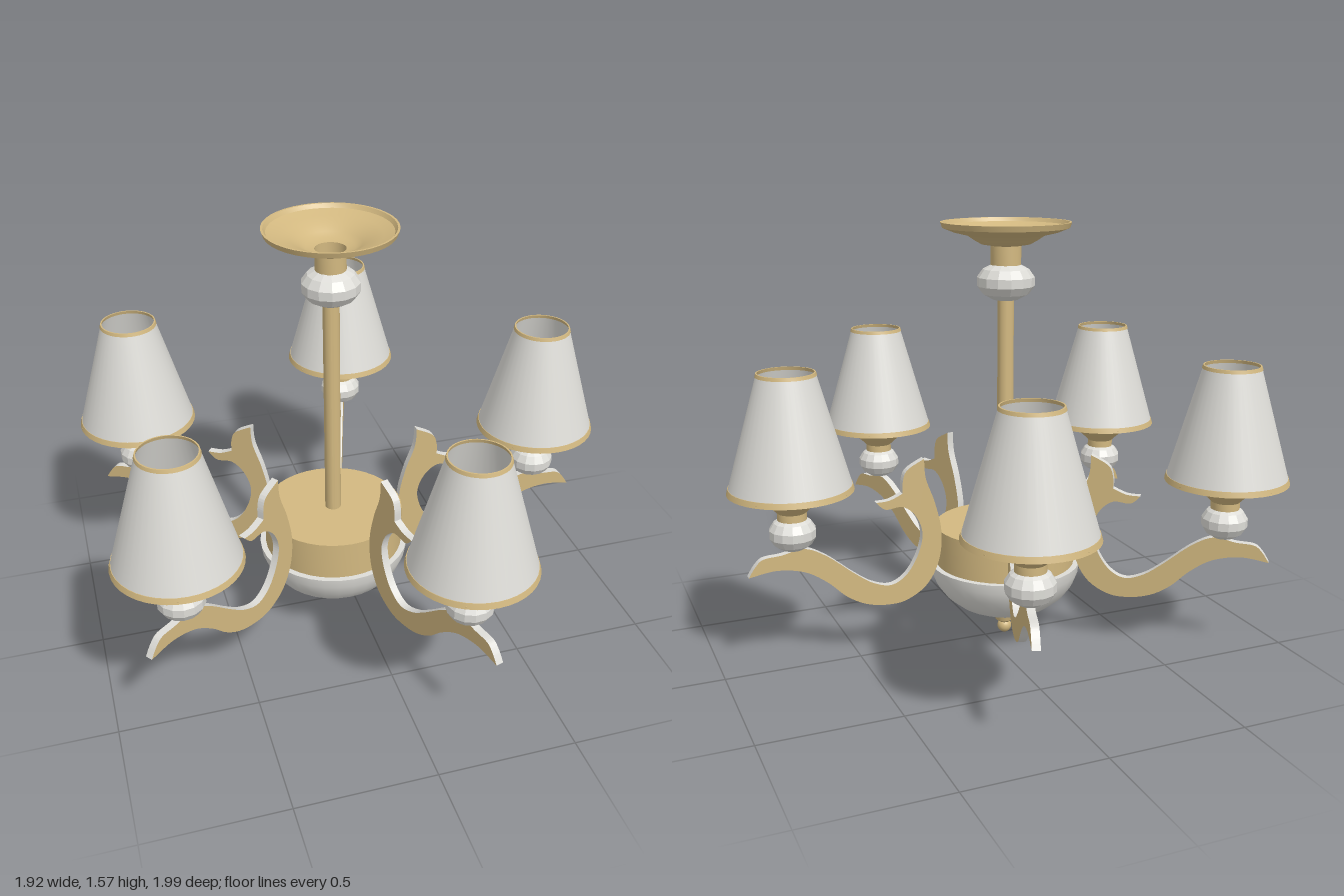
import * as THREE from 'three';
import { toCreasedNormals } from 'three/addons/utils/BufferGeometryUtils.js';

const gold = new THREE.MeshStandardMaterial({ color: 0xd2b880, side: THREE.DoubleSide });
gold.name = 'brushed gold';
const white = new THREE.MeshStandardMaterial({ color: 0xdddcd7, side: THREE.DoubleSide });
white.name = 'soft white';

const vectors = (pts) => pts.map(([x, y]) => new THREE.Vector2(x, y));

function add(parent, name, geometry, material) {
  const mesh = new THREE.Mesh(geometry, material);
  mesh.name = name;
  parent.add(mesh);
  return mesh;
}

// Turned part from a bottom-to-top profile of [radius, height]
function turned(parent, name, profile, material, sides = 32) {
  const geometry = new THREE.LatheGeometry(vectors(profile), sides);
  return add(parent, name, toCreasedNormals(geometry, 0.55), material);
}

// Flattened, faceted ball
function facetedBall(parent, name, radius, halfHeight, y) {
  const geometry = new THREE.SphereGeometry(1, 14, 7).toNonIndexed();
  geometry.scale(radius, halfHeight, radius);
  geometry.computeVertexNormals();
  add(parent, name, geometry, white).position.y = y;
}

// Scrolled arm outline: radius from the stem, height
function armGeometry() {
  const shape = new THREE.Shape();
  shape.moveTo(0.98, 0.372);
  const runs = [
    // tail and upper edge, up to the leaf
    [[0.955, 0.41], [0.925, 0.434], [0.86, 0.44], [0.78, 0.453], [0.70, 0.415], [0.60, 0.335], [0.53, 0.287],
      [0.46, 0.268], [0.40, 0.30], [0.355, 0.37], [0.336, 0.45], [0.36, 0.52], [0.41, 0.562], [0.475, 0.56], [0.51, 0.59]],
    // leaf top to the notch
    [[0.46, 0.593], [0.41, 0.613]],
    // outer side of the upright tip
    [[0.408, 0.66], [0.39, 0.70], [0.326, 0.735]],
    // back and lower edge, out to the tail
    [[0.32, 0.66], [0.285, 0.56], [0.262, 0.45], [0.272, 0.34], [0.32, 0.25], [0.40, 0.20], [0.48, 0.193],
      [0.56, 0.21], [0.63, 0.25], [0.70, 0.315], [0.78, 0.365], [0.88, 0.385], [0.98, 0.372]],
  ];
  runs.forEach((run) => shape.splineThru(vectors(run)));
  const geometry = new THREE.ExtrudeGeometry(shape, { depth: 0.028, bevelEnabled: false, curveSegments: 36 });
  geometry.translate(0, 0, -0.014);
  return toCreasedNormals(geometry, 0.6);
}

// Candle holder, bulb and shade
function makeLamp() {
  const lamp = new THREE.Group();
  lamp.name = 'lamp';
  facetedBall(lamp, 'lampBall', 0.085, 0.066, 0.515);
  turned(lamp, 'lampCup', [
    [0, 0.565], [0.052, 0.565], [0.052, 0.592], [0.068, 0.608], [0.10, 0.635], [0.122, 0.66], [0.122, 0.672], [0, 0.672],
  ], gold);
  turned(lamp, 'bulb', [
    [0.03, 0.67], [0.034, 0.71], [0.05, 0.75], [0.055, 0.79], [0.048, 0.825], [0.028, 0.848], [0, 0.856],
  ], white, 20);

  const shadeRadius = (y) => 0.22 - 0.12 * (y - 0.67) / 0.42;
  const ring = (y0, y1, out) => [[shadeRadius(y0) + out, y0], [shadeRadius(y1) + out, y1]];
  turned(lamp, 'shade', ring(0.67, 1.09, 0), white, 40);
  for (const [name, y0, y1] of [['shadeBottomTrim', 0.67, 0.69], ['shadeTopTrim', 1.078, 1.09]]) {
    const outer = ring(y0, y1, 0.002);
    const inner = ring(y0, y1, -0.003);
    turned(lamp, name, [...outer, inner[1], inner[0], outer[0]], gold, 40);
  }

  // Wires carrying the shade
  for (let i = 0; i < 4; i++) {
    const angle = i * Math.PI / 2 + Math.PI / 4;
    const wire = add(lamp, 'shadeWire', new THREE.BoxGeometry(0.11, 0.006, 0.006), gold);
    wire.position.set(Math.cos(angle) * 0.165, 0.676, Math.sin(angle) * 0.165);
    wire.rotation.y = -angle;
  }
  return lamp;
}

export function createModel() {
  const model = new THREE.Group();
  model.name = 'chandelier';
  const fixture = new THREE.Group();
  fixture.name = 'fixture';
  fixture.position.x = -0.08;
  model.add(fixture);

  // Bottom finial
  turned(fixture, 'finial', [
    [0, 0.042], [0.016, 0.042], [0.034, 0.055], [0.04, 0.075], [0.062, 0.084], [0.062, 0.096], [0, 0.096],
  ], gold);
  const knob = add(fixture, 'finialKnob', new THREE.SphereGeometry(0.027, 20, 12), gold);
  knob.position.y = 0.027;

  // Central bowl and drum
  turned(fixture, 'bowl', [
    [0, 0.09], [0.06, 0.092], [0.12, 0.107], [0.18, 0.135], [0.23, 0.175], [0.263, 0.22], [0.28, 0.265], [0.284, 0.30], [0.262, 0.30],
  ], white);
  turned(fixture, 'drum', [[0.262, 0.298], [0.262, 0.445], [0, 0.445]], gold, 40);

  // Stem
  turned(fixture, 'stem', [[0.03, 0.44], [0.03, 1.43], [0, 1.43]], gold, 20);
  facetedBall(fixture, 'stemBall', 0.107, 0.072, 1.36);

  // Open neck and hollow ceiling dish
  turned(fixture, 'neck', [[0.055, 1.41], [0.055, 1.495]], gold);
  turned(fixture, 'ceilingDish', [
    [0.055, 1.488], [0.09, 1.494], [0.115, 1.508], [0.14, 1.525], [0.19, 1.537], [0.228, 1.552], [0.235, 1.572],
    [0.227, 1.572], [0.218, 1.558], [0.18, 1.545], [0.135, 1.532], [0.108, 1.514], [0.085, 1.501], [0.055, 1.496],
  ], gold, 40);

  // Five arms with their lamps
  const armShape = armGeometry();
  for (let i = 0; i < 5; i++) {
    const branch = new THREE.Group();
    branch.name = 'branch';
    branch.rotation.y = i * Math.PI * 2 / 5;
    add(branch, 'arm', armShape, [gold, white]);
    const lamp = makeLamp();
    lamp.position.x = 0.815;
    branch.add(lamp);
    fixture.add(branch);
  }
  return model;
}
